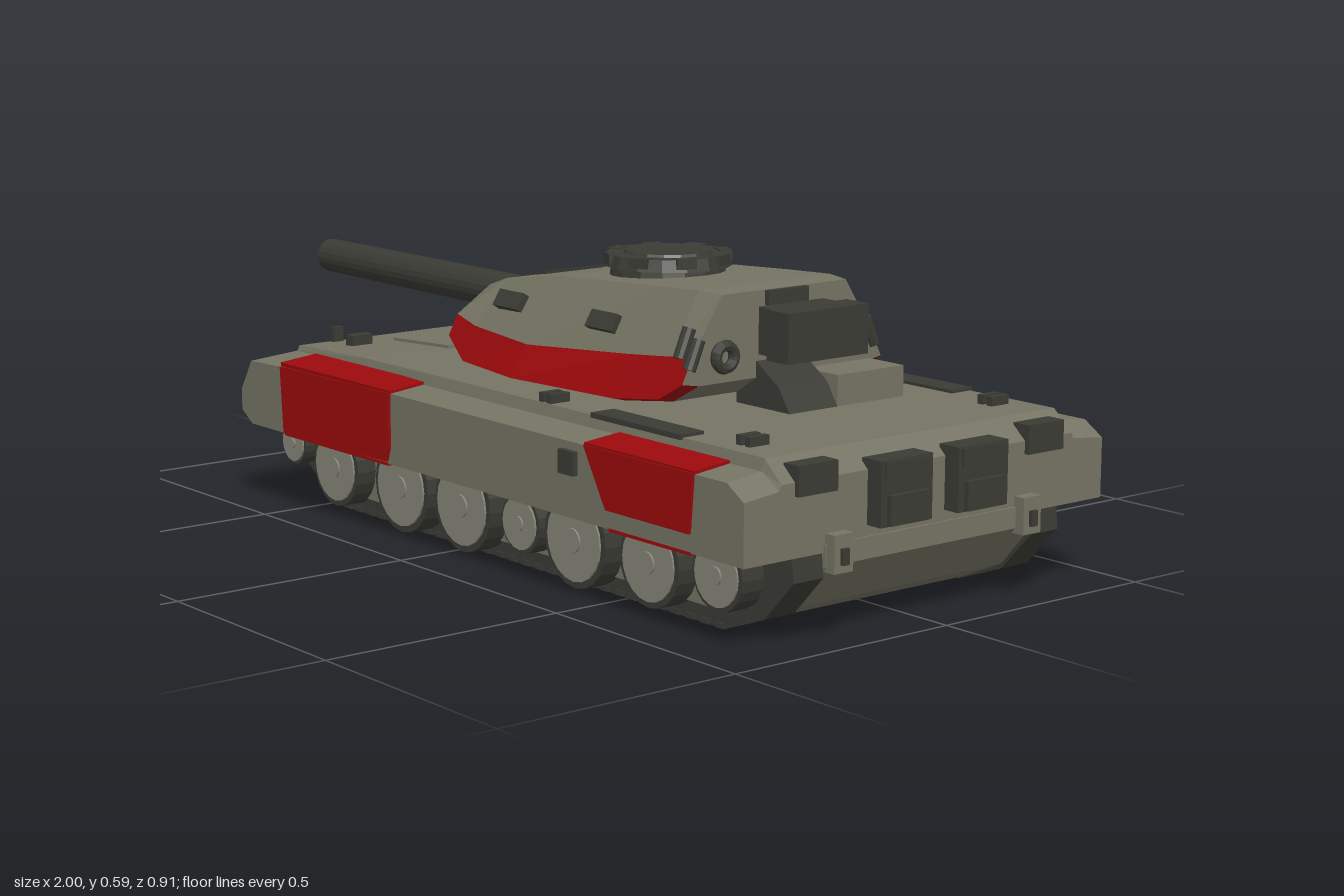
import * as THREE from 'three';

const mat = (name, color) => {
  const m = new THREE.MeshStandardMaterial({ color, flatShading: true });
  m.name = name;
  return m;
};

export function createModel() {
  const olive = mat('olive armour', 0x757464);
  const dark = mat('dark steel', 0x3b3b35);
  const red = mat('red paint', 0x9c0a0c);
  const wheelGrey = mat('wheel grey', 0x87867a);
  const tank = new THREE.Group();
  tank.name = 'tank';

  const add = (name, geo, material, x = 0, y = 0, z = 0) => {
    const m = new THREE.Mesh(geo, material);
    m.name = name;
    m.position.set(x, y, z);
    tank.add(m);
    return m;
  };
  const box = (name, material, x, y, z, w, h, d) =>
    add(name, new THREE.BoxGeometry(w, h, d), material, x, y, z);
  const profile = (points, depth) => new THREE.ExtrudeGeometry(
    new THREE.Shape(points.map(p => new THREE.Vector2(...p))), { depth, bevelEnabled: false });
  const both = fn => [1, -1].forEach(fn);

  // Skins mirrored cross-sections along x; each section is [x, [z, y] from bottom to top]
  const loft = (sections, paintedSegments = []) => {
    const rings = sections.map(([x, half]) => [
      ...half.map(([z, y]) => [x, y, z]),
      ...[...half].reverse().map(([z, y]) => [x, y, -z])]);
    const n = rings[0].length, plain = [], painted = [];
    for (let i = 0; i < rings.length - 1; i++) {
      for (let j = 0; j < n; j++) {
        const k = (j + 1) % n;
        const a = rings[i][j], b = rings[i + 1][j], c = rings[i + 1][k], d = rings[i][k];
        (paintedSegments.includes(j) ? painted : plain).push(...a, ...b, ...c, ...a, ...c, ...d);
      }
    }
    [rings[0], rings[rings.length - 1]].forEach((r, end) => {
      const mid = [r[0][0], r.reduce((s, p) => s + p[1], 0) / n, 0];
      for (let j = 0; j < n; j++) {
        const p = r[j], q = r[(j + 1) % n];
        plain.push(...mid, ...(end ? q : p), ...(end ? p : q));
      }
    });
    const g = new THREE.BufferGeometry();
    g.setAttribute('position', new THREE.Float32BufferAttribute([...plain, ...painted], 3));
    g.addGroup(0, plain.length / 3, 0);
    g.addGroup(plain.length / 3, painted.length / 3, 1);
    g.computeVertexNormals();
    return g;
  };

  // Hull with stepped fenders
  const hullSection = (x, bottom, fender, inner, deck) => [x, [
    [0.445, bottom], [0.445, fender], [inner, fender + 0.009], [inner - 0.006, deck]]];
  add('upperHull', loft([
    hullSection(-0.67, 0.19, 0.235, 0.325, 0.25),
    hullSection(-0.63, 0.165, 0.3, 0.33, 0.32),
    hullSection(-0.35, 0.165, 0.308, 0.352, 0.335),
    hullSection(-0.1, 0.165, 0.308, 0.366, 0.34),
    hullSection(0.91, 0.165, 0.308, 0.366, 0.34),
    hullSection(0.955, 0.165, 0.28, 0.366, 0.3)]), [olive, olive]);
  add('lowerHull', profile([[-0.47, 0.01], [0.78, 0.005], [0.88, 0.05], [0.96, 0.14],
    [0.96, 0.18], [-0.66, 0.19], [-0.655, 0.15]], 0.52), olive, 0, 0, -0.26);

  // Running gear
  const beltLine = [[-0.46, 0], [0.77, 0], [0.88, 0.04], [0.955, 0.12], [0.95, 0.17],
    [-0.64, 0.17], [-0.65, 0.13], [-0.58, 0.06]];
  const wheels = [[-0.57, 0.125, 0.045], [-0.41, 0.1, 0.082], [-0.17, 0.1, 0.093],
    [0.04, 0.1, 0.093], [0.23, 0.1, 0.06], [0.4, 0.1, 0.093], [0.62, 0.1, 0.085],
    [0.81, 0.115, 0.068]];
  both(s => {
    add('track', profile(beltLine, 0.07), dark, 0, 0, s * 0.295 - 0.035);
    add('suspensionPlate', profile([[-0.44, 0.035], [0.76, 0.035], [0.86, 0.165], [-0.56, 0.165]], 0.006),
      olive, 0, 0, s * 0.333 - 0.003);
    for (let i = 0; i < 30; i++)
      box('trackCleat', dark, -0.44 + i * 0.0414, 0.005, s * 0.295, 0.022, 0.01, 0.076);
    wheels.forEach(([x, y, r]) => {
      const disc = (name, m, radius, depth, z) =>
        add(name, new THREE.CylinderGeometry(radius, radius, depth, 20), m, x, y, s * z).rotation.x = Math.PI / 2;
      disc('wheelTyre', dark, r, 0.05, 0.355);
      disc('wheelDisc', wheelGrey, r * 0.86, 0.008, 0.38);
      disc('wheelHub', wheelGrey, r * 0.25, 0.01, 0.383);
    });
  });

  // Red panels wrapping fender, skirt and skirt underside
  const panels = [
    { side: [[-0.5, 0.166], [-0.12, 0.17], [-0.11, 0.2], [-0.11, 0.309], [-0.51, 0.305]],
      top: [-0.31, 0.4], under: [-0.31, 0.38] },
    { side: [[0.58, 0.2], [0.815, 0.2], [0.825, 0.31], [0.515, 0.31]],
      top: [0.67, 0.31], under: [0.7, 0.23] }];
  both(s => panels.forEach(({ side, top, under }) => {
    add('redSkirtPanel', profile(side, 0.006), red, 0, 0, s * 0.447 - 0.003);
    box('redFenderPanel', red, top[0], 0.3145, s * 0.403, top[1], 0.008, 0.088).rotation.x = s * 0.1;
    box('redUndersidePanel', red, under[0], 0.164, s * 0.418, under[1], 0.006, 0.056);
  }));

  // Deck and hull fittings
  box('driverHatch', olive, -0.43, 0.333, 0, 0.2, 0.008, 0.3).rotation.z = 0.054;
  both(s => {
    box('deckGrille', dark, 0.56, 0.341, s * 0.338, 0.26, 0.01, 0.055);
    box('towHookFront', olive, -0.68, 0.17, s * 0.235, 0.035, 0.06, 0.045);
    box('towHookFrontPin', dark, -0.695, 0.155, s * 0.235, 0.02, 0.03, 0.02);
    box('headlampBracket', dark, -0.535, 0.335, s * 0.235, 0.025, 0.025, 0.05);
    box('headlamp', dark, -0.62, 0.335, s * 0.235, 0.012, 0.035, 0.025);
    box('skirtBox', dark, 0.47, 0.27, s * 0.449, 0.045, 0.045, 0.014);
    [[0.28, 0.335], [0.81, 0.3]].forEach(([x, z]) => both(t =>
      box('deckClip', dark, x + t * 0.012, 0.348, s * z, 0.014, 0.02, 0.045)));
    // Rear plate
    box('rearExhaustFrame', dark, 0.965, 0.26, s * 0.095, 0.05, 0.12, 0.125);
    box('rearExhaustCap', dark, 0.98, 0.3, s * 0.095, 0.03, 0.035, 0.11);
    box('rearExhaustLip', dark, 0.985, 0.23, s * 0.095, 0.03, 0.055, 0.095);
    box('rearLamp', dark, 0.945, 0.303, s * 0.283, 0.04, 0.055, 0.092);
    box('towHookRear', olive, 0.965, 0.165, s * 0.235, 0.03, 0.07, 0.045);
    box('towHookRearPin', dark, 0.982, 0.16, s * 0.235, 0.01, 0.03, 0.016);
  });

  // Turret with red lower band, widest near its foot
  add('turret', loft([
    [-0.205, [[0.2, 0.385], [0.235, 0.39], [0.213, 0.432], [0.13, 0.485]]],
    [-0.12, [[0.22, 0.345], [0.262, 0.352], [0.23, 0.42], [0.15, 0.51]]],
    [0.08, [[0.26, 0.344], [0.291, 0.35], [0.25, 0.412], [0.165, 0.54]]],
    [0.38, [[0.245, 0.346], [0.276, 0.354], [0.236, 0.434], [0.167, 0.557]]],
    [0.5, [[0.225, 0.36], [0.261, 0.368], [0.23, 0.445], [0.165, 0.563]]],
    [0.555, [[0.21, 0.395], [0.25, 0.402], [0.225, 0.452], [0.155, 0.56]]],
  ], [0, 1, 5, 6]), [olive, red]);
  add('turretRing', new THREE.CylinderGeometry(0.21, 0.21, 0.03, 24), olive, 0.18, 0.345, 0);

  // Gun and mantlet
  const tube = (name, r0, r1, x0, x1) =>
    add(name, new THREE.CylinderGeometry(r1, r0, x1 - x0, 20), dark, (x0 + x1) / 2, 0.443, 0).rotation.z = -Math.PI / 2;
  tube('gunBarrel', 0.037, 0.039, -1, -0.22);
  tube('gunCollar', 0.044, 0.05, -0.24, -0.17);
  add('mantlet', profile([[-0.225, 0.4], [-0.1, 0.39], [-0.09, 0.522], [-0.16, 0.508], [-0.212, 0.487]], 0.15),
    dark, 0, 0, -0.075);

  // Commander's cupola
  add('cupolaNeck', new THREE.CylinderGeometry(0.11, 0.12, 0.05, 16), dark, 0.21, 0.546, 0);
  add('cupola', new THREE.CylinderGeometry(0.12, 0.127, 0.024, 16), dark, 0.21, 0.576, 0);
  add('cupolaHatch', new THREE.CylinderGeometry(0.085, 0.09, 0.008, 16), dark, 0.21, 0.589, 0);
  for (let i = 0; i < 8; i++) {
    const a = (i + 0.5) * Math.PI / 4;
    box('cupolaPeriscope', dark, 0.21 + Math.cos(a) * 0.113, 0.58, Math.sin(a) * 0.113, 0.026, 0.02, 0.04)
      .rotation.y = -a;
  }

  // Turret fittings
  both(s => {
    [[-0.03, 0.203], [0.28, 0.212]].forEach(([x, z]) =>
      box('sidePeriscope', dark, x, 0.478, s * z, 0.08, 0.036, 0.026).rotation.x = -s * 0.55);
    [0.525, 0.552].forEach((x, i) => {
      add('smokeLauncher', new THREE.CylinderGeometry(0.013, 0.013, 0.06, 10), dark,
        x, 0.472 - i * 0.018, s * 0.22).rotation.x = -s * 0.4;
    });
  });
  box('rearVent', dark, 0.56, 0.453, -0.14, 0.014, 0.03, 0.06);
  add('rearShackle', new THREE.TorusGeometry(0.022, 0.011, 8, 16), dark, 0.565, 0.445, 0.155).rotation.y = Math.PI / 2;
  box('bustleMount', olive, 0.6, 0.485, 0, 0.1, 0.085, 0.1);
  box('bustleBox', dark, 0.65, 0.488, 0.002, 0.06, 0.095, 0.2);
  box('bustleBracket', dark, 0.59, 0.488, 0, 0.035, 0.09, 0.16);
  box('bustleLid', dark, 0.56, 0.545, 0, 0.014, 0.028, 0.1);
  box('rearStep', olive, 0.575, 0.37, -0.135, 0.15, 0.06, 0.17);
  add('rearStepWedge', profile([[0.5, 0.34], [0.65, 0.34], [0.62, 0.385], [0.55, 0.43], [0.5, 0.43]], 0.12),
    dark, 0, 0, -0.05);

  return tank;
}
